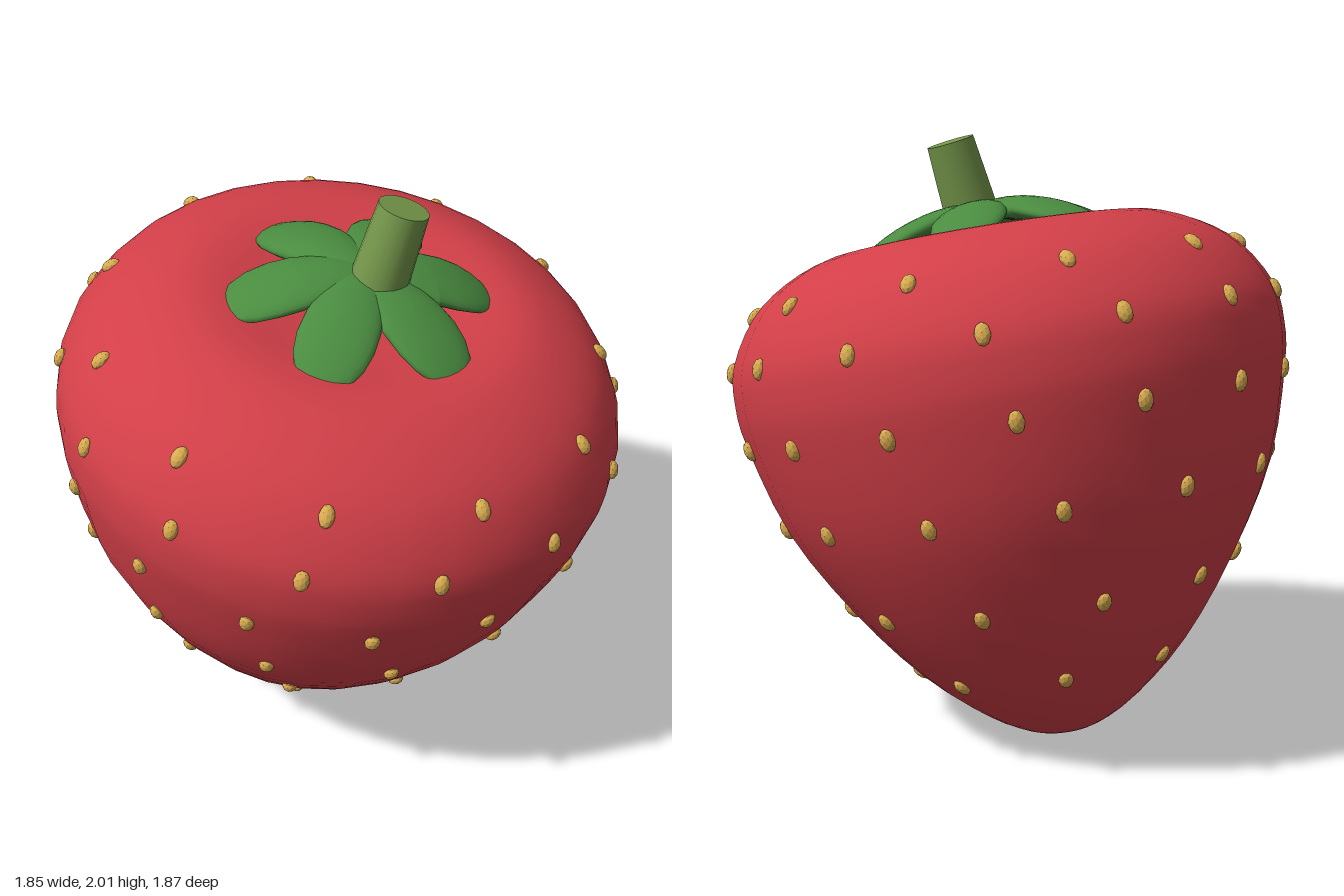
import * as THREE from 'three';

const material = (name, color, extra = {}) =>
  Object.assign(new THREE.MeshStandardMaterial({ color, ...extra }), { name });

const red = material('berry red', 0xd23f48);
const leafGreen = material('leaf green', 0x4a8c40);
const stemGreen = material('stem green', 0x74964a);
const seedGold = material('seed gold', 0xd8ab50, { flatShading: true });

function part(name, geometry, mat) {
  const mesh = new THREE.Mesh(geometry, mat);
  mesh.name = name;
  return mesh;
}

// Berry outline from the blunt tip to the dimple: radius, height
const profile = new THREE.SplineCurve([
  [0, -0.045], [0.07, -0.042], [0.14, -0.026], [0.275, 0.057], [0.463, 0.23],
  [0.655, 0.485], [0.82, 0.78], [0.908, 1.08], [0.925, 1.22], [0.908, 1.35],
  [0.82, 1.495], [0.7, 1.588], [0.55, 1.648], [0.42, 1.648], [0.3, 1.625],
  [0.15, 1.605], [0, 1.6],
].map(([r, y]) => new THREE.Vector2(r, y))).getPoints(48);
profile.forEach((p) => { p.x = Math.max(p.x, 0); });

// Puffy leaf pointing along +z, wider outwards and drooping into the dimple
function leafGeometry() {
  const geo = new THREE.SphereGeometry(1, 20, 14);
  const pos = geo.attributes.position;
  for (let i = 0; i < pos.count; i++) {
    const t = pos.getZ(i);
    const r = 0.215 + 0.235 * t;
    pos.setXYZ(i,
      pos.getX(i) * (0.118 + 0.03 * t),
      1.74 - 0.05 * r - 0.5 * r * r + pos.getY(i) * 0.042,
      r);
  }
  geo.computeVertexNormals();
  return geo;
}

// Point and outward tilt on the berry outline at a given height
function surfaceAt(height) {
  const i = profile.findIndex((p) => p.y >= height);
  const a = profile[i - 1], b = profile[i];
  const k = (height - a.y) / (b.y - a.y);
  return { r: a.x + (b.x - a.x) * k, tilt: Math.atan2(b.x - a.x, b.y - a.y) };
}

export function createModel() {
  const model = new THREE.Group();
  model.name = 'strawberry';

  // Leaning body that carries the seeds and leaves
  const body = new THREE.Group();
  body.name = 'leaningBody';
  body.rotation.x = 0.21;
  body.position.set(0, 0.056, -0.254);
  model.add(body);
  body.add(part('berry', new THREE.LatheGeometry(profile, 32), red));

  // Seeds in staggered rings: height, count
  const seedGeo = new THREE.IcosahedronGeometry(1, 1).scale(0.024, 0.035, 0.02);
  const rings = [[0.227, 8], [0.485, 11], [0.797, 13], [1.075, 15], [1.33, 14], [1.503, 11]];
  const seeds = new THREE.Group();
  seeds.name = 'seeds';
  body.add(seeds);
  rings.forEach(([height, count], row) => {
    const { r, tilt } = surfaceAt(height);
    for (let i = 0; i < count; i++) {
      const pivot = new THREE.Group();
      pivot.rotation.y = ((i + (row % 2) / 2) / count) * Math.PI * 2;
      const seed = part('seed', seedGeo, seedGold);
      seed.position.set(0, height, r);
      seed.rotation.x = tilt;
      pivot.add(seed);
      seeds.add(pivot);
    }
  });

  // Ring of six leaves
  const leafGeo = leafGeometry();
  for (let i = 0; i < 6; i++) {
    const leaf = part('leaf', leafGeo, leafGreen);
    leaf.rotation.y = (i * Math.PI) / 3;
    body.add(leaf);
  }

  // Short slanted stem
  const base = new THREE.Vector3(0.0, 1.67, 0.14);
  const top = new THREE.Vector3(0.077, 1.982, 0.194);
  const axis = top.clone().sub(base);
  const stem = part('stem', new THREE.CylinderGeometry(0.08, 0.096, axis.length(), 20), stemGreen);
  stem.position.copy(base).add(top).multiplyScalar(0.5);
  stem.quaternion.setFromUnitVectors(new THREE.Vector3(0, 1, 0), axis.normalize());
  model.add(stem);

  return model;
}
